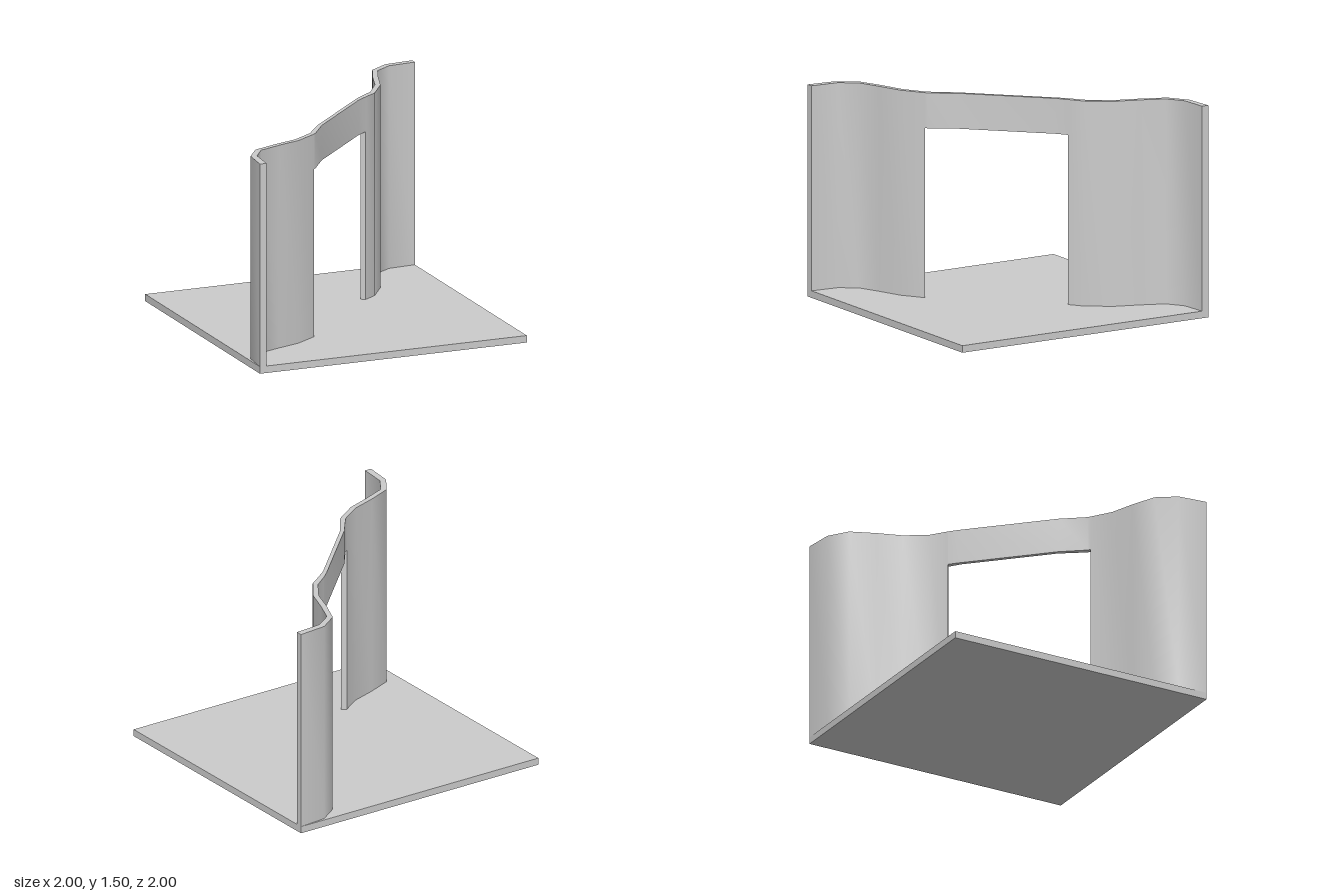
import * as THREE from 'three';
import { toCreasedNormals } from 'three/addons/utils/BufferGeometryUtils.js';

const BASE = 0.05, DOOR_TOP = 1.25, TOP = 1.5;

// Plan points [x, z] along the wall's back and front faces
const leftBack = [[-1, 1], [-0.98, 0.79], [-0.885, 0.652], [-0.71, 0.58], [-0.53, 0.52], [-0.394, 0.43]];
const leftFront = [[-0.95, 1], [-0.935, 0.8], [-0.855, 0.68], [-0.69, 0.614], [-0.515, 0.553], [-0.36, 0.45]];
const rightBack = [[0.31, -0.298], [0.42, -0.38], [0.522, -0.535], [0.58, -0.71], [0.652, -0.885], [0.79, -0.98], [1, -1]];
const rightFront = [[0.34, -0.275], [0.438, -0.343], [0.555, -0.515], [0.614, -0.69], [0.68, -0.855], [0.8, -0.935], [1, -0.95]];
const lintelBack = [leftBack.at(-1), [-0.375, 0.417], [-0.25, 0.255], [0.255, -0.25], rightBack[0]];
const lintelFront = [leftFront.at(-1), [-0.343, 0.438], [-0.22, 0.265], [0.265, -0.22], rightFront[0]];

// Raises a stretch of wall from its plan outline
function wallPiece(name, back, front, y0, y1, material) {
  const outline = [...front, ...[...back].reverse()].map(([x, z]) => new THREE.Vector2(x, -z));
  const geometry = new THREE.ExtrudeGeometry(new THREE.Shape(outline), { depth: y1 - y0, bevelEnabled: false });
  geometry.rotateX(-Math.PI / 2).translate(0, y0, 0);
  const mesh = new THREE.Mesh(toCreasedNormals(geometry, THREE.MathUtils.degToRad(42)), material);
  mesh.name = name;
  return mesh;
}

export function createModel() {
  const material = new THREE.MeshStandardMaterial({ color: 0xcccccc });
  const model = new THREE.Group();
  model.name = 'curvedWallWithDoorway';

  // Square floor slab
  const floor = new THREE.Mesh(new THREE.BoxGeometry(2, BASE, 2), material);
  floor.name = 'floor';
  floor.position.y = BASE / 2;

  // Wavy diagonal wall: two full-height sides and a lintel over the doorway
  const wall = new THREE.Group();
  wall.name = 'wall';
  wall.add(
    wallPiece('rightWall', leftBack, leftFront, BASE, TOP, material),
    wallPiece('leftWall', rightBack, rightFront, BASE, TOP, material),
    wallPiece('lintel', lintelBack, lintelFront, DOOR_TOP, TOP, material)
  );
  // Names follow the model's own left (+x) and right (-x)

  model.add(floor, wall);
  return model;
}
